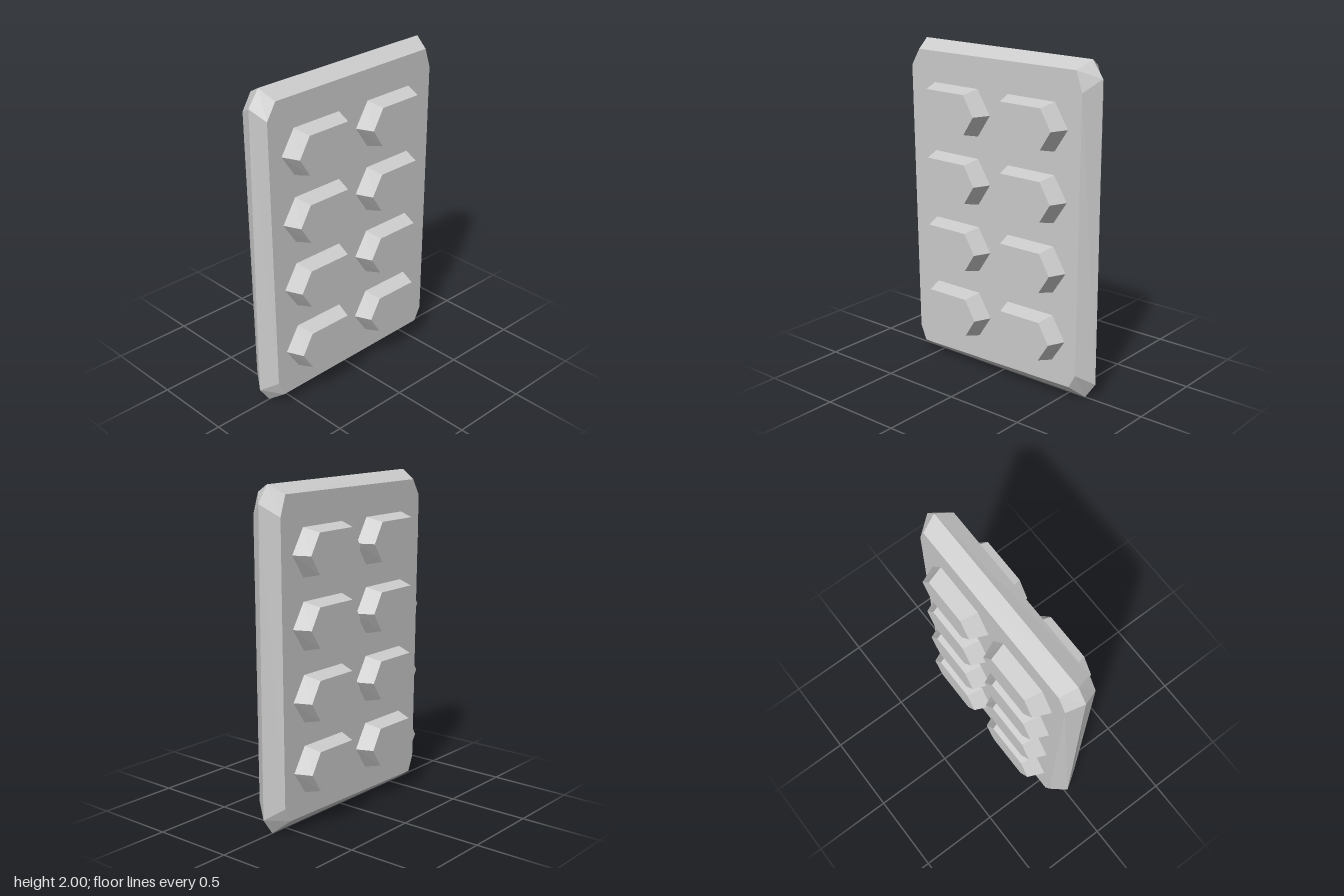
import * as THREE from 'three';

// Closed solid through outlines [x, y] (counter-clockwise seen from +z) stacked along rising z
function loft(layers) {
  const pos = [];
  const n = layers[0].outline.length;
  const put = (layer, i) => pos.push(...layer.outline[i % n], layer.z);
  const first = layers[0], last = layers[layers.length - 1];
  for (let k = 0; k < layers.length - 1; k++) {
    const a = layers[k], b = layers[k + 1];
    for (let i = 0; i < n; i++) {
      put(a, i); put(a, i + 1); put(b, i + 1);
      put(a, i); put(b, i + 1); put(b, i);
    }
  }
  for (let i = 1; i < n - 1; i++) {
    put(last, 0); put(last, i); put(last, i + 1);
    put(first, 0); put(first, i + 1); put(first, i);
  }
  const geometry = new THREE.BufferGeometry();
  geometry.setAttribute('position', new THREE.Float32BufferAttribute(pos, 3));
  geometry.computeVertexNormals();
  return geometry;
}

// Stretched hexagon: w = half width at the points, s = half length of the flat edges, h = half height
const hexagon = (w, s, h) => [[w, -0.005], [s, h], [-s, h], [-w, -0.005], [-s, -h], [s, -h]];

export function createModel() {
  const group = new THREE.Group();
  const material = new THREE.MeshStandardMaterial({ color: 0xcccccc, flatShading: true });
  const add = (geometry, name) => {
    const mesh = new THREE.Mesh(geometry, material);
    mesh.name = name;
    group.add(mesh);
    return mesh;
  };

  // Slab with chipped corners and a sharp ridge all round; faces are slightly uneven
  const ridge = [
    [0.68, 0.1], [0.68, 1.9], [0.61, 2], [-0.61, 2],
    [-0.68, 1.9], [-0.68, 0.1], [-0.61, 0], [0.61, 0],
  ];
  const face = [
    [0.605, 0.17], [0.615, 1.83], [0.575, 1.95], [-0.58, 1.945],
    [-0.64, 1.845], [-0.615, 0.165], [-0.575, 0.07], [0.56, 0.085],
  ];
  add(loft([
    { z: -0.1, outline: face },
    { z: 0, outline: ridge },
    { z: 0.1, outline: face },
  ]), 'slab');

  // Bevelled hexagonal studs, two columns by four rows on both faces
  const base = hexagon(0.257, 0.167, 0.14);
  const top = hexagon(0.214, 0.142, 0.117);
  const frontStud = loft([{ z: 0.1, outline: base }, { z: 0.2, outline: top }]);
  const backStud = loft([{ z: -0.2, outline: top }, { z: -0.1, outline: base }]);
  for (const y of [1.62, 1.205, 0.785, 0.365]) {
    for (const x of [-0.29, 0.268]) {
      add(frontStud, 'frontStud').position.set(x, y, 0);
      add(backStud, 'backStud').position.set(x, y, 0);
    }
  }
  return group;
}
